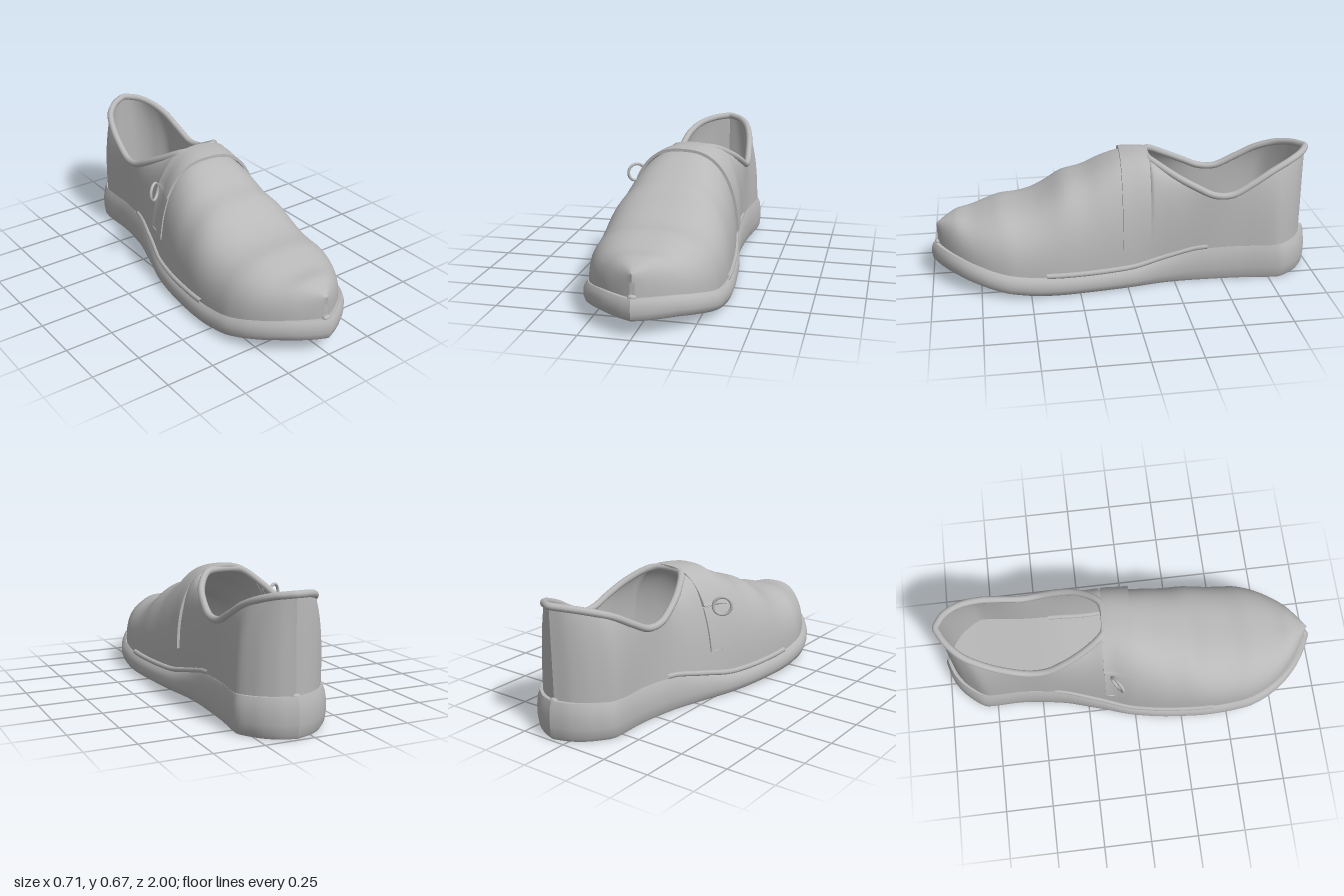
import * as THREE from 'three';
import { toCreasedNormals } from 'three/addons/utils/BufferGeometryUtils.js';

// Smooth, non-overshooting interpolation through [z, value] pairs (z descending)
function table(...rows) {
  const n = rows.length;
  const d = rows.slice(1).map((r, i) => (r[1] - rows[i][1]) / (r[0] - rows[i][0]));
  const m = rows.map((r, i) => {
    if (i === 0) return d[0];
    if (i === n - 1) return d[n - 2];
    return d[i - 1] * d[i] <= 0 ? 0 : (2 * d[i - 1] * d[i]) / (d[i - 1] + d[i]);
  });
  return (z) => {
    if (z >= rows[0][0]) return rows[0][1];
    if (z <= rows[n - 1][0]) return rows[n - 1][1];
    let i = 0;
    while (z < rows[i + 1][0]) i++;
    const h = rows[i + 1][0] - rows[i][0], t = (z - rows[i][0]) / h;
    const t2 = t * t, t3 = t2 * t;
    return (2 * t3 - 3 * t2 + 1) * rows[i][1] + (t3 - 2 * t2 + t) * h * m[i]
      + (3 * t2 - 2 * t3) * rows[i + 1][1] + (t3 - t2) * h * m[i + 1];
  };
}

// Plan outline: centre line and half width
const centre = table([1, 0], [0.2, 0], [0, 0.005], [-0.2, 0.02], [-0.4, 0.045], [-0.6, 0.062], [-0.8, 0.072], [-1, 0.08]);
const halfWidth = table([1, 0], [0.97, 0.065], [0.9, 0.17], [0.8, 0.262], [0.7, 0.317], [0.6, 0.345], [0.4, 0.355],
  [0.2, 0.342], [0, 0.315], [-0.2, 0.268], [-0.4, 0.237], [-0.6, 0.227], [-0.8, 0.238], [-0.9, 0.18], [-0.97, 0.09], [-1, 0]);
// Sole heights
const soleTop = table([1, 0.19], [0.9, 0.184], [0.8, 0.165], [0.6, 0.122], [0.45, 0.106], [0.2, 0.1], [0, 0.105],
  [-0.2, 0.14], [-0.4, 0.178], [-0.6, 0.184], [-0.8, 0.186], [-1, 0.195]);
const soleBottom = table([1, 0.085], [0.9, 0.08], [0.8, 0.062], [0.6, 0.02], [0.45, 0.003], [0.3, 0], [-1, 0]);
// Upper: ridge / opening height, opening half width and centre, how far the wall curls in
const topY = table([0.965, 0.3], [0.9, 0.335], [0.85, 0.352], [0.8, 0.354], [0.7, 0.38], [0.63, 0.4], [0.55, 0.406],
  [0.47, 0.425], [0.4, 0.46], [0.3, 0.525], [0.2, 0.552], [0.1, 0.602], [0, 0.637], [-0.1, 0.646], [-0.14, 0.638],
  [-0.2, 0.605], [-0.3, 0.553], [-0.4, 0.502], [-0.48, 0.473], [-0.55, 0.475], [-0.7, 0.557], [-0.8, 0.602], [-0.9, 0.638], [-0.97, 0.654]);
const openHalf = table([-0.12, 0], [-0.13, 0.07], [-0.16, 0.11], [-0.26, 0.17], [-0.45, 0.212], [-0.6, 0.203],
  [-0.8, 0.165], [-0.9, 0.1], [-0.94, 0.055], [-0.965, 0]);
const openCentre = table([1, 0], [0.3, 0], [0, 0.015], [-0.13, 0.045], [-0.26, 0.058], [-0.6, 0.057], [-0.8, 0.062], [-0.965, 0.085]);
const curl = table([-0.13, Math.PI / 2], [-0.3, 1.2], [-0.6, 0.95], [-1, 0.85]);

// Point on the upper: s runs from -1 (right base) through 0 (top) to 1 (left base)
function upperPoint(z, s) {
  const side = s < 0 ? -1 : 1, aMax = curl(z), a = (1 - Math.abs(s)) * aMax, p = 0.77;
  const pow = (v) => Math.pow(Math.max(v, 0), p);
  const up = pow(Math.sin(a)) / pow(Math.sin(aMax));
  const inward = (1 - pow(Math.cos(a))) / (1 - pow(Math.cos(aMax)));
  const base = halfWidth(z / 0.965) * 0.93, y0 = soleTop(z) - 0.012;
  const c = THREE.MathUtils.lerp(centre(z), openCentre(z), up);
  return new THREE.Vector3(c + side * (base + (openHalf(z) - base) * inward), y0 + (topY(z) - y0) * up, z);
}

// Skin a list of equal-length point rings
function loft(rings, closed, crease = 0.7) {
  const n = rings[0].length, index = [];
  for (let i = 0; i < rings.length - 1; i++) {
    for (let j = 0; j < (closed ? n : n - 1); j++) {
      const a = i * n + j, b = i * n + (j + 1) % n;
      index.push(a, b, a + n, b, b + n, a + n);
    }
  }
  const geo = new THREE.BufferGeometry().setFromPoints(rings.flat());
  geo.setIndex(index);
  return toCreasedNormals(geo, crease);
}

// Strip lying over the upper from s0 to s1, slightly slanted, with closed ends
function strip(s0, s1, zHalf, lift, thick) {
  const rings = [], N = 40;
  const point = (s, dz, off) => {
    const x = upperPoint(-0.06, s).x;
    const z = -0.066 + 0.07 * x + dz;
    const q = upperPoint(Math.max(z, -0.12), s);
    const out = new THREE.Vector3(q.x - 0.01, Math.max(q.y - 0.38, 0), 0).normalize();
    return q.addScaledVector(out, off).setZ(z);
  };
  for (let i = 0; i <= N; i++) {
    const s = s0 + (s1 - s0) * i / N, outer = [], inner = [];
    for (let k = -2; k <= 2; k++) {
      outer.push(point(s, zHalf * k / 2, lift + thick));
      inner.unshift(point(s, zHalf * k / 2, lift));
    }
    rings.push([...outer, ...inner]);
  }
  const cap = (ring) => {
    const mid = ring.reduce((t, q) => t.add(q), new THREE.Vector3()).divideScalar(ring.length);
    return ring.map(() => mid.clone());
  };
  return loft([cap(rings[0]), ...rings, cap(rings[N])], true, 0.6);
}

export function createModel() {
  const group = new THREE.Group();
  const grey = new THREE.MeshStandardMaterial({ color: 0xb8b8b8, side: THREE.DoubleSide });
  grey.name = 'grey';
  const add = (name, geo) => {
    const mesh = new THREE.Mesh(geo, grey);
    mesh.name = name;
    group.add(mesh);
    return mesh;
  };
  const stations = Array.from({ length: 101 }, (_, i) => Math.cos(Math.PI * i / 100));

  // Sole: rounded wall profile [inset, height fraction] carried along the outline
  const wall = [[0.022, 0], [0.008, 0.1], [0, 0.35], [0, 0.6], [0.008, 0.85], [0.022, 1]];
  add('sole', loft(stations.map((z) => {
    const lo = soleBottom(z), hi = soleTop(z), hw = halfWidth(z);
    const at = (side) => ([k, f]) => new THREE.Vector3(
      centre(z) + side * hw * (1 - 3 * k), lo + (hi - lo) * f, z * (1 - k * 0.7));
    return [...wall.map(at(-1)), ...wall.map(at(1)).reverse()];
  }), true));

  // Upper: arched over the foot, open behind the instep
  const upperZ = [...stations.map((z) => z * 0.965), -0.12, -0.13, -0.14].sort((a, b) => b - a);
  const across = Array.from({ length: 57 }, (_, j) => -1 + j / 28);
  const wallRings = (list, part) => loft(list.map((z) => part.map((s) => upperPoint(z, s))), false, 1);
  add('vamp', wallRings(upperZ.filter((z) => z >= -0.12), across));
  const rear = upperZ.filter((z) => z <= -0.12);
  add('rightQuarter', wallRings(rear, across.slice(0, 28).concat(-1e-6)));
  add('leftQuarter', wallRings(rear, across.slice(28)));

  // Padded rim around the opening
  const rimZ = [-0.13, -0.16, -0.26, -0.36, -0.45, -0.54, -0.65, -0.75, -0.85, -0.92, -0.95];
  const rimPoint = (side) => (z) => upperPoint(z, side * 1e-6);
  const rimPath = new THREE.CatmullRomCurve3([
    ...rimZ.map(rimPoint(1)), rimPoint(1)(-0.965), ...rimZ.map(rimPoint(-1)).reverse()], true);
  add('openingRim', new THREE.TubeGeometry(rimPath, 160, 0.018, 10, true));

  // Welt bead along each side of the waist
  for (const side of [-1, 1]) {
    const points = [];
    for (let z = 0.42; z > -0.48; z -= 0.06) {
      points.push(new THREE.Vector3(centre(z) + side * (halfWidth(z) - 0.022), soleTop(z) + 0.011, z));
    }
    add(side > 0 ? 'leftWelt' : 'rightWelt',
      new THREE.TubeGeometry(new THREE.CatmullRomCurve3(points), 50, 0.014, 8));
  }

  // Strap over the instep, its anchor tab and the ring joining them
  add('strap', strip(-0.57, 0.89, 0.072, 0.004, 0.015));
  add('strapTab', strip(-0.88, -0.58, 0.068, 0, 0.008));
  const ring = add('strapRing', new THREE.TorusGeometry(0.046, 0.008, 10, 36));
  ring.position.set(-0.268, 0.49, -0.09);
  ring.rotation.y = 0.6;

  // Seam ends at toe and heel
  for (const [name, x, z] of [['toeSeam', 0, 0.965], ['heelSeam', 0.08, -0.965]]) {
    const nub = add(name, new THREE.SphereGeometry(0.022, 12, 8));
    nub.scale.set(1, 0.6, 0.7);
    nub.position.set(x, 0.192, z);
  }
  return group;
}
